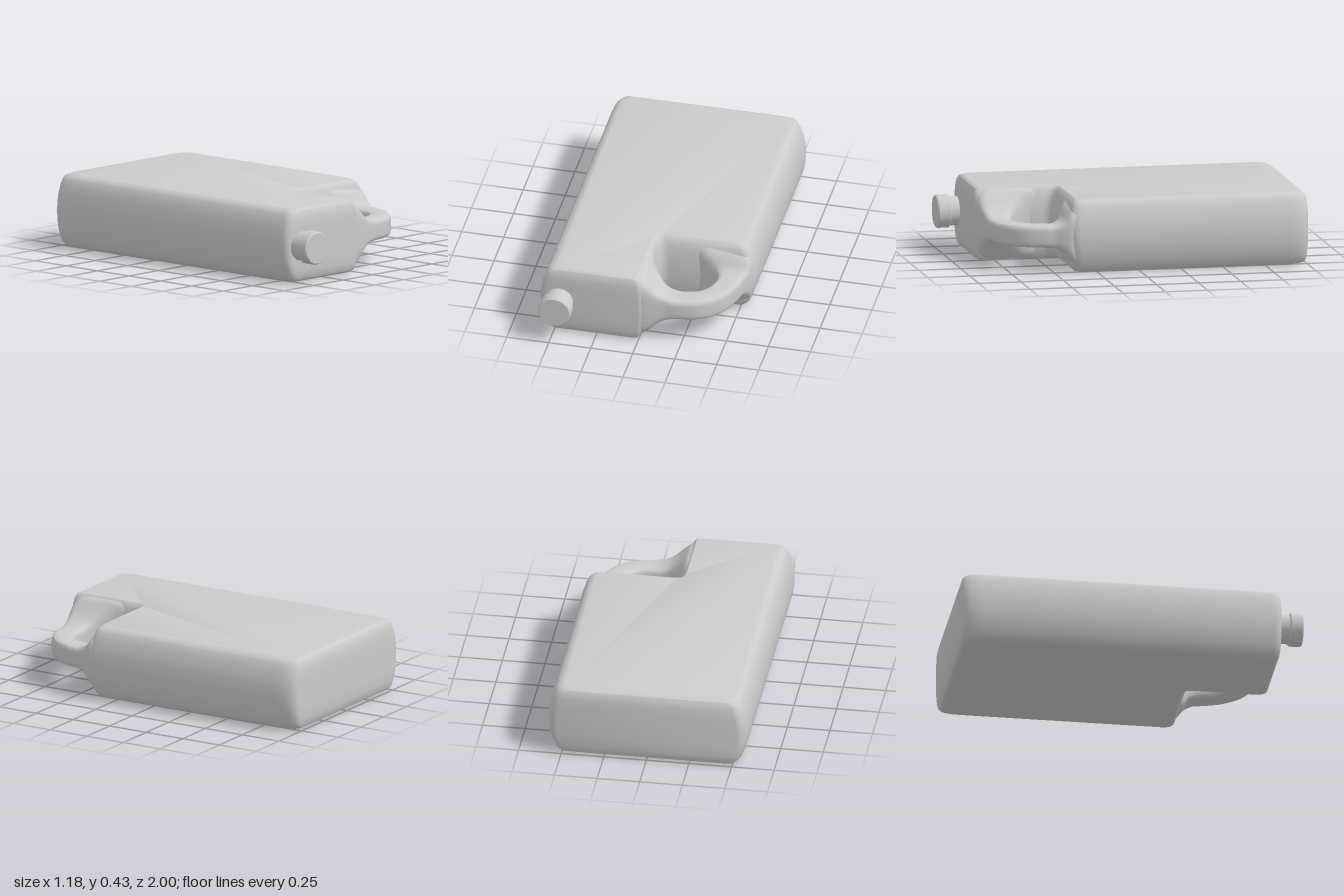
import * as THREE from 'three';
import { toCreasedNormals } from 'three/addons/utils/BufferGeometryUtils.js';

const MID = 0.214; // height of the symmetry plane
const material = new THREE.MeshStandardMaterial({ color: 0xcccccc });

// Skin a stack of closed rings; optionally close both ends
function loft(rings, capped, crease) {
  const n = rings[0].length, pos = [], index = [];
  rings.forEach(r => r.forEach(p => pos.push(p.x, p.y, p.z)));
  for (let i = 0; i < rings.length - 1; i++) {
    for (let j = 0; j < n; j++) {
      const a = i * n + j, b = i * n + (j + 1) % n;
      index.push(a, a + n, b, b, a + n, b + n);
    }
  }
  if (capped) {
    [[0, -1], [rings.length - 1, 1]].forEach(([k, up]) => {
      const flat = rings[k].map(p => new THREE.Vector2(p.x, p.z));
      THREE.ShapeUtils.triangulateShape(flat, []).forEach(([a, b, c]) => {
        const area = THREE.ShapeUtils.area([flat[a], flat[b], flat[c]]);
        const tri = area * up < 0 ? [a, b, c] : [a, c, b];
        index.push(...tri.map(v => v + k * n));
      });
    });
  }
  const g = new THREE.BufferGeometry();
  g.setAttribute('position', new THREE.Float32BufferAttribute(pos, 3));
  g.setIndex(index);
  return toCreasedNormals(g, crease);
}

// L-shaped plan with rounded corners, drawn in by side, end and notch insets
function bodyRing(y, side, end, notch) {
  const X = 0.588 - side, nx = 0.03 - notch, nz = 0.415 - notch;
  const corners = [ // x, z, rounding along x, rounding along z
    [-X, -1 + end, 0.06, 0.12], [X, -1 + end, 0.06, 0.12],
    [X, nz, 0.05, 0.06], [nx, nz, 0.06, 0.06],
    [nx, 0.87 - end, 0.03, 0.03], [-X, 0.87 - end, 0.05, 0.05],
  ];
  const ring = [];
  corners.forEach(([x, z, rx, rz], i) => {
    const p = corners[(i + 5) % 6], q = corners[(i + 1) % 6];
    const toward = c => new THREE.Vector2(
      x + Math.sign(Math.round((c[0] - x) * 1e4)) * rx,
      z + Math.sign(Math.round((c[1] - z) * 1e4)) * rz);
    const curve = new THREE.QuadraticBezierCurve(toward(p), new THREE.Vector2(x, z), toward(q));
    curve.getPoints(5).forEach(v => ring.push(new THREE.Vector3(v.x, y, v.y)));
  });
  return ring;
}

function buildBody() {
  const half = [ // offset from mid height, side, end and notch insets
    [0, 0, 0, 0], [0.05, 0.003, 0, 0.001], [0.1, 0.011, 0, 0.005], [0.15, 0.027, 0.001, 0.012],
    [0.185, 0.042, 0.006, 0.022], [0.203, 0.057, 0.015, 0.032], [0.214, 0.085, 0.035, 0.045],
  ];
  const levels = [...half.slice(1).reverse().map(([d, ...r]) => [-d, ...r]), ...half];
  return loft(levels.map(([d, s, e, n]) => bodyRing(MID + d, s, e, n)), true, 0.6);
}

function buildHandle() {
  const sections = [ // outer x, outer z, inner x, inner z, half height
    [-0.06, 0.862, -0.06, 0.45, 0.208], [0, 0.866, 0, 0.47, 0.204],
    [0.05, 0.86, 0.04, 0.57, 0.165], [0.1, 0.847, 0.09, 0.64, 0.115],
    [0.15, 0.836, 0.14, 0.675, 0.082], [0.21, 0.83, 0.2, 0.685, 0.066],
    [0.32, 0.81, 0.27, 0.682, 0.065], [0.42, 0.75, 0.33, 0.655, 0.065],
    [0.49, 0.66, 0.37, 0.6, 0.065], [0.53, 0.55, 0.388, 0.53, 0.065],
    [0.54, 0.5, 0.388, 0.49, 0.068], [0.562, 0.45, 0.36, 0.455, 0.09],
    [0.574, 0.4, 0.29, 0.425, 0.15], [0.55, 0.34, 0.2, 0.38, 0.195],
    [0.5, 0.28, 0.15, 0.32, 0.205],
  ];
  const outer = new THREE.CatmullRomCurve3(sections.map(s => new THREE.Vector3(s[0], s[4], s[1])));
  const inner = new THREE.CatmullRomCurve3(sections.map(s => new THREE.Vector3(s[2], s[4], s[3])));
  const square = v => Math.sign(v) * Math.pow(Math.abs(v), 0.4);
  const rings = [], steps = 56, sides = 32;
  for (let i = 0; i <= steps; i++) {
    const o = outer.getPoint(i / steps), n = inner.getPoint(i / steps), ring = [];
    for (let j = 0; j < sides; j++) {
      const a = (j + 0.5) / sides * Math.PI * 2;
      const p = n.clone().lerp(o, 0.5 + 0.5 * square(Math.cos(a)));
      p.y = MID + o.y * square(Math.sin(a));
      ring.push(p);
    }
    rings.push(ring);
  }
  return loft(rings, false, 0.7);
}

// Neck and cap are turned around the z axis
function turned(points) {
  const g = new THREE.LatheGeometry(points.map(p => new THREE.Vector2(...p)), 32);
  g.rotateX(Math.PI / 2);
  g.translate(-0.469, MID, 0);
  return toCreasedNormals(g, 0.6);
}

export function createModel() {
  const model = new THREE.Group();
  model.name = 'jug';
  const add = (name, geometry) => {
    const mesh = new THREE.Mesh(geometry, material);
    mesh.name = name;
    model.add(mesh);
  };
  add('body', buildBody());
  add('handle', buildHandle());
  add('neck', turned([[0.085, 0.84], [0.085, 0.93]]));
  add('cap', turned([[0, 0.921], [0.09, 0.921], [0.097, 0.927], [0.097, 0.992], [0.09, 1], [0, 1]]));
  return model;
}
